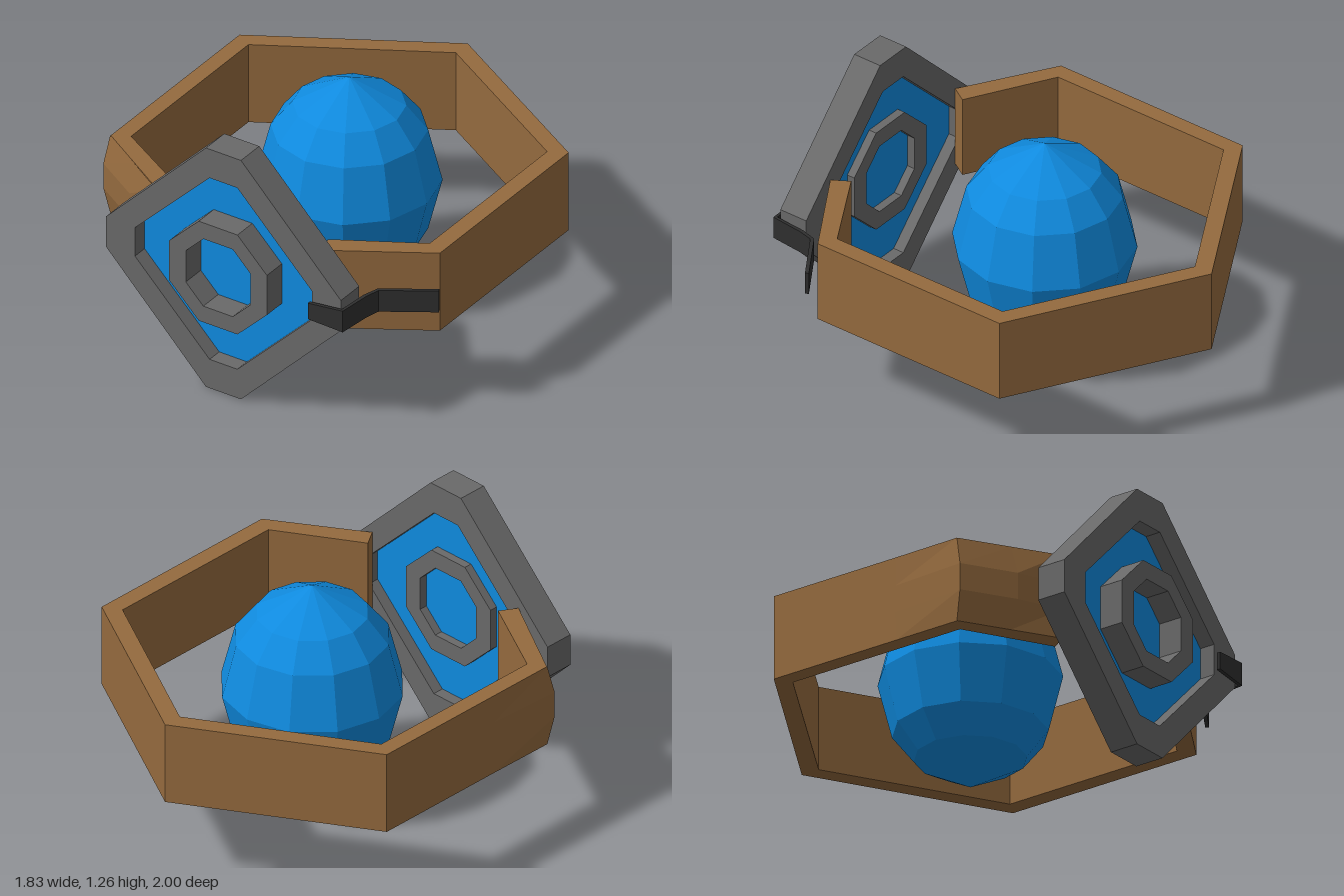
import * as THREE from 'three';

const paint = (name, color) => {
  const m = new THREE.MeshStandardMaterial({ color });
  m.name = name;
  return m;
};
const leather = paint('brown leather', 0x946a3e);
const metal = paint('grey metal', 0x696969);
const gem = paint('blue gem', 0x0f8ade);
const darkMetal = paint('dark metal', 0x2f2f2f);

const toPoints = (list) => list.map(([x, y]) => new THREE.Vector2(x, y));

// Faceted copy of a geometry: one normal per face
function faceted(geometry) {
  const g = geometry.index ? geometry.toNonIndexed() : geometry;
  g.computeVertexNormals();
  return g;
}

// Plan outline of [x, z] points raised from y0 to y1
function raisePlan(outline, y0, y1) {
  const shape = new THREE.Shape(toPoints(outline.map(([x, z]) => [x, -z])));
  const g = new THREE.ExtrudeGeometry(shape, { depth: y1 - y0, bevelEnabled: false });
  return g.rotateX(-Math.PI / 2).translate(0, y0, 0);
}

// Eight-sided outline: half width w, half height h, flat half lengths a (top) and b (side)
const octagon = (w, h, a, b) => toPoints([
  [a, h], [-a, h], [-w, b], [-w, -b], [-a, -h], [a, -h], [w, -b], [w, b],
]);

function octagonPlate(outer, inner, z0, z1) {
  const shape = new THREE.Shape(octagon(...outer));
  if (inner) shape.holes.push(new THREE.Path(octagon(...inner)));
  const g = new THREE.ExtrudeGeometry(shape, { depth: z1 - z0, bevelEnabled: false });
  return g.translate(-0.01, 0.632, z0);
}

// Strip of constant thickness along a plan path
function stripOutline(path, thickness) {
  const pts = toPoints(path);
  const side = (s) => pts.map((p, i) => {
    const a = pts[Math.max(i - 1, 0)], b = pts[Math.min(i + 1, pts.length - 1)];
    const t = b.clone().sub(a).normalize();
    return [p.x - t.y * s, p.y + t.x * s];
  });
  return [...side(thickness / 2), ...side(-thickness / 2).reverse()];
}

// Bulged leather overlap on the belt's right front corner
function overlapGeometry() {
  const edge = [[-0.9, 0.2], [-0.903, 0.545], [-0.68, 0.682], [-0.47, 0.812]];
  const middle = [[-0.902, 0.2], [-0.92, 0.575], [-0.68, 0.72], [-0.47, 0.814]];
  const rows = [[0.43, edge], [0.57, middle], [0.7, middle], [0.84, edge]];
  const pos = [], index = [];
  rows.forEach(([y, line]) => line.forEach(([x, z]) => pos.push(x, y, z)));
  for (let r = 0; r < 3; r++) {
    for (let c = 0; c < 3; c++) {
      const a = r * 4 + c;
      index.push(a, a + 1, a + 5, a, a + 5, a + 4);
    }
  }
  const g = new THREE.BufferGeometry();
  g.setAttribute('position', new THREE.Float32BufferAttribute(pos, 3));
  g.setIndex(index);
  return faceted(g);
}

export function createModel() {
  const group = new THREE.Group();
  const add = (name, geometry, material) => {
    const mesh = new THREE.Mesh(geometry, material);
    mesh.name = name;
    group.add(mesh);
  };

  // Six-sided belt, open at the front
  const outer = [[0.45, 0.81], [0.885, 0.545], [0.885, -0.487], [-0.01, -1], [-0.9, -0.487], [-0.9, 0.545], [-0.465, 0.81]];
  const inner = [[-0.415, 0.73], [-0.82, 0.5], [-0.82, -0.44], [-0.01, -0.905], [0.8, -0.44], [0.8, 0.5], [0.4, 0.73]];
  add('belt', raisePlan([...outer, ...inner], 0.43, 0.84), leather);
  add('beltOverlap', overlapGeometry(), leather);

  // Faceted gem floating inside the belt
  const profile = toPoints([
    [0, -0.525], [0.257, -0.385], [0.355, -0.26], [0.42, 0], [0.355, 0.26], [0.257, 0.385], [0, 0.525],
  ]);
  const orb = faceted(new THREE.LatheGeometry(profile, 12));
  add('orb', orb.translate(-0.01, 0.628, -0.052), gem);

  // Buckle: frame, inset panel and raised inner ring
  add('buckleFrame', octagonPlate([0.637, 0.632, 0.095, 0.08], [0.48, 0.48, 0.075, 0.075], 0.81, 0.957), metal);
  add('bucklePanel', octagonPlate([0.48, 0.48, 0.075, 0.075], null, 0.865, 0.88), gem);
  add('buckleRing', octagonPlate([0.265, 0.263, 0.105, 0.105], [0.175, 0.178, 0.08, 0.083], 0.825, 1), metal);

  // Bent clip hooked over the buckle's left corner
  const path = [[0.47, 0.982], [0.645, 0.972], [0.66, 0.81], [0.68, 0.735], [0.91, 0.587]];
  const clip = raisePlan(stripOutline(path, 0.018), 0.563, 0.675);
  const p = clip.attributes.position;
  for (let i = 0; i < p.count; i++) {
    // Narrow the front tip
    if (p.getX(i) < 0.55) p.setY(i, 0.619 + (p.getY(i) - 0.619) * 0.75);
  }
  add('clip', faceted(clip), darkMetal);

  return group;
}
